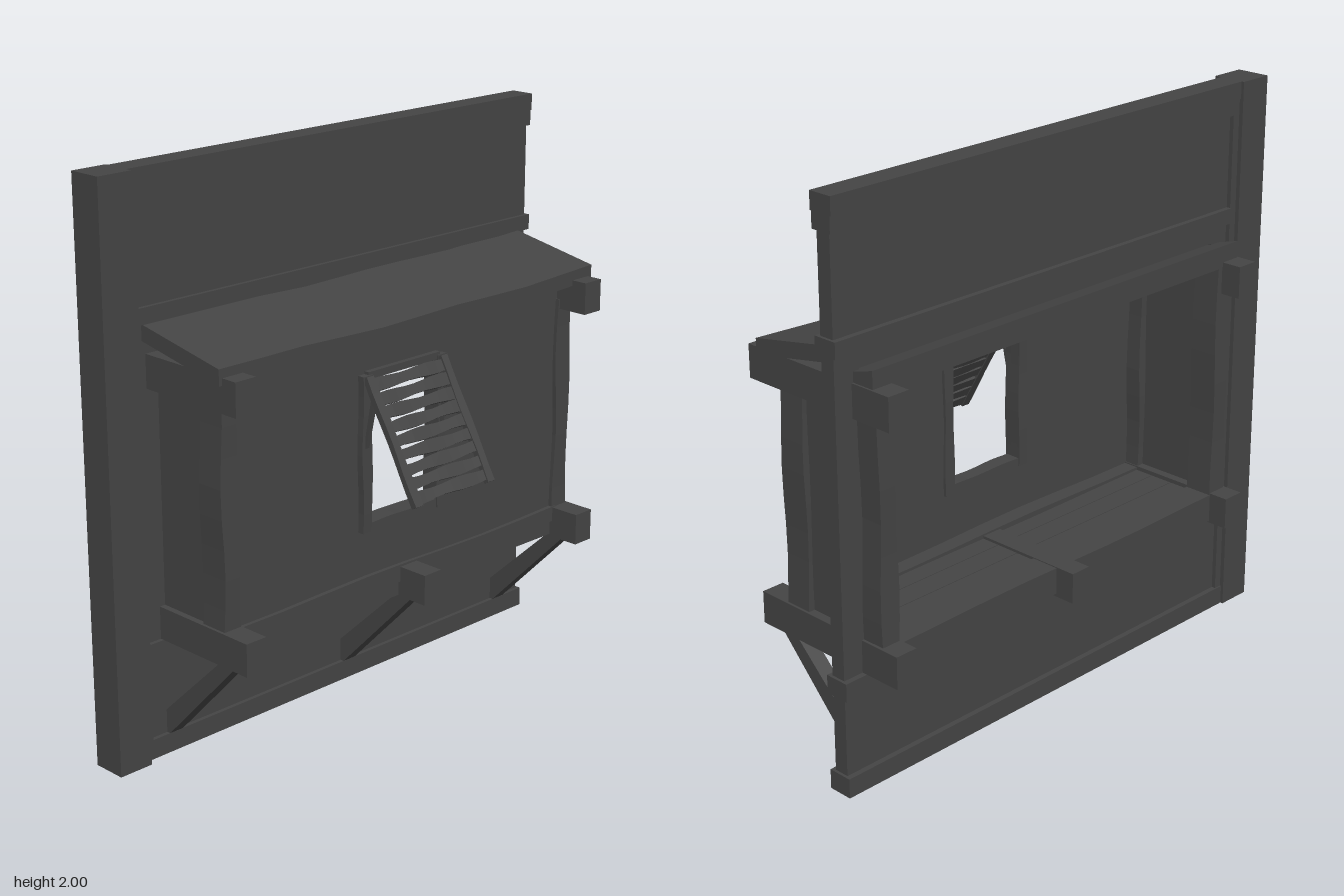
import * as THREE from 'three';

const mat = new THREE.MeshStandardMaterial({ color: 0x444444, flatShading: true });

// Box given by its extents; wobble bends it gently along its longest side
function timber(name, x0, x1, y0, y1, z0, z1, wobble = 0) {
  const size = [x1 - x0, y1 - y0, z1 - z0];
  const axis = size.indexOf(Math.max(...size));
  const seg = [1, 1, 1];
  if (wobble) seg[axis] = 8;
  const geo = new THREE.BoxGeometry(...size, ...seg);
  if (wobble) {
    const p = geo.attributes.position;
    const phase = x0 * 7 + y0 * 13 + z0 * 5;
    for (let i = 0; i < p.count; i++) {
      const c = [p.getX(i), p.getY(i), p.getZ(i)];
      const t = c[axis] / size[axis] + 0.5;
      for (let a = 0; a < 3; a++) {
        if (a === axis) continue;
        const side = Math.sign(c[a]);
        c[a] += wobble * Math.sin(t * 9 + phase + side * 2 + a) * (a === 2 ? 0.4 : 1);
      }
      p.setXYZ(i, ...c);
    }
    geo.computeVertexNormals();
  }
  const m = new THREE.Mesh(geo, mat);
  m.name = name;
  m.position.set((x0 + x1) / 2, (y0 + y1) / 2, (z0 + z1) / 2);
  return m;
}

// Upright board with a rectangular opening; rectangles are [x0, x1, y0, y1]
function boardWithOpening(name, outer, hole, z0, z1) {
  const corners = ([a, b, c, d]) => [[a, c], [b, c], [b, d], [a, d]].map(v => new THREE.Vector2(...v));
  const shape = new THREE.Shape(corners(outer));
  shape.holes.push(new THREE.Path(corners(hole).reverse()));
  const m = new THREE.Mesh(new THREE.ExtrudeGeometry(shape, { depth: z1 - z0, bevelEnabled: false }), mat);
  m.name = name;
  m.position.z = z0;
  return m;
}

// Solid from a side outline of [z, y] points, swept from x0 to x1
function sideProfile(name, pts, x0, x1, steps = 1) {
  const shape = new THREE.Shape(pts.map(([z, y]) => new THREE.Vector2(-z, y)));
  const geo = new THREE.ExtrudeGeometry(shape, { depth: x1 - x0, steps, bevelEnabled: false });
  geo.rotateY(Math.PI / 2);
  geo.translate(x0, 0, 0);
  const m = new THREE.Mesh(geo, mat);
  m.name = name;
  return m;
}

function buildWall() {
  const g = new THREE.Group();
  g.name = 'wall';
  g.add(
    timber('cornerPost', -1, -0.87, 0, 2, -0.25, -0.125),
    timber('sideStrip', -0.87, -0.84, 0, 1.95, -0.235, -0.15),
    boardWithOpening('wallPanel', [-0.85, 0.99, 0.03, 1.96], [-0.76, 0.89, 0.45, 1.44], -0.22, -0.165)
  );
  const rails = [[0, 0.07, -0.87], [0.35, 0.415, -0.84], [1.5, 1.555, -0.84], [1.885, 1.94, -0.84], [1.94, 2, -0.87]];
  for (const [y0, y1, x0] of rails) {
    const inset = y0 === 1.885 ? 0.005 : 0;
    g.add(timber('wallRail', x0, 1, y0, y1, -0.24 + inset, -0.15 - inset));
  }
  return g;
}

function buildBay() {
  const g = new THREE.Group();
  g.name = 'bay';

  // Joists running front to back, carrying the bay below and the roof above
  for (const x of [-0.74, 0.07, 0.87]) {
    if (x === 0.07) {
      g.add(timber('floorJoist', 0.03, 0.11, 0.415, 0.525, -0.38, 0.26));
    } else {
      g.add(timber('floorJoist', x - 0.042, x + 0.042, 0.415, 0.53, -0.38, 0.26));
    }
    // Diagonal brace down to the wall foot
    g.add(sideProfile('brace', [[0.12, 0.42], [0.19, 0.42], [-0.155, 0.065], [-0.2, 0.05], [-0.2, 0.12]], x - 0.028, x + 0.028));
  }
  for (const x of [-0.765, 0.88]) {
    g.add(timber('roofJoist', x - 0.042, x + 0.042, 1.285, 1.4, -0.38, 0.26));
  }

  // Posts, with a recessed side panel between each pair
  for (const [x0, x1, p] of [[-0.77, -0.7, -0.745], [0.83, 0.9, 0.865]]) {
    g.add(
      timber('frontPost', x0, x1, 0.5, 1.32, 0.04, 0.145, 0.005),
      timber('backPost', x0, x1, 0.5, 1.4, -0.305, -0.2, 0.005),
      timber('sidePanel', p - 0.015, p + 0.015, 0.5, 1.4, -0.21, 0.05)
    );
  }

  // Long rails front and back, and the floor boards
  g.add(
    timber('frontBottomRail', -0.72, 0.85, 0.475, 0.53, 0.04, 0.145, 0.005),
    timber('backBottomRail', -0.72, 0.85, 0.425, 0.52, -0.305, -0.2, 0.005),
    timber('frontTopRail', -0.74, 0.85, 1.37, 1.42, 0.04, 0.14, 0.004),
    timber('frontSill', -0.72, 0.85, 0.42, 0.48, 0.06, 0.135, 0.003),
    sideProfile('backTopRail', [[-0.2, 1.38], [-0.305, 1.38], [-0.305, 1.46], [-0.2, 1.43]], -0.8, 0.915)
  );
  for (let i = 0; i < 3; i++) {
    const z = -0.21 + i * 0.09;
    g.add(timber('floorBoard', -0.74, 0.86, 0.49, 0.515, z, z + 0.087));
  }
  g.add(boardWithOpening('frontPanel', [-0.74, 0.87, 0.48, 1.4], [-0.12, 0.2, 0.725, 1.25], 0.1, 0.13));
  return g;
}

function buildRoof() {
  // Sloping slab whose front edge sags a little in the middle
  const roof = sideProfile('roof', [[0.2, 1.38], [0.2, 1.435], [-0.2, 1.51], [-0.2, 1.455]].reverse(), -0.82, 0.94, 10);
  const p = roof.geometry.attributes.position;
  for (let i = 0; i < p.count; i++) {
    const t = (p.getX(i) - 0.06) / 0.88;
    p.setY(i, p.getY(i) - 0.012 * (1 - t * t) + 0.004 * Math.sin(t * 8));
  }
  roof.geometry.computeVertexNormals();
  return roof;
}

function buildWindow() {
  const g = new THREE.Group();
  g.name = 'window';
  for (const [x0, x1] of [[-0.16, -0.118], [0.198, 0.238]]) {
    g.add(timber('windowStile', x0, x1, 0.7, 1.25, 0.09, 0.155, 0.003));
  }
  g.add(
    timber('windowSill', -0.13, 0.21, 0.7, 0.73, 0.095, 0.15, 0.002),
    timber('windowHead', -0.13, 0.21, 1.235, 1.26, 0.095, 0.15)
  );

  // Slatted shutter hinged at its top edge and propped open
  const shutter = new THREE.Group();
  shutter.name = 'shutter';
  for (const s of [-1, 1]) {
    const x = s * 0.175;
    shutter.add(timber('shutterStile', x - 0.016, x + 0.016, -0.455, 0, -0.01, 0.012, 0.002));
  }
  for (let i = 0; i < 9; i++) {
    const y = -0.03 - i * 0.0495;
    const slat = timber('slat', -0.17, 0.17, y - 0.02, y + 0.02, -0.007, 0.007, 0.003);
    slat.rotation.z = 0.014 * Math.sin(i * 2.3);
    shutter.add(slat);
  }
  shutter.position.set(0.038, 1.245, 0.155);
  shutter.rotation.x = -Math.PI / 6;
  g.add(shutter);

  // Thin props between the frame and the shutter
  for (const x of [-0.14, 0.216]) {
    g.add(sideProfile('shutterProp', [[0.145, 1.0], [0.155, 1.0], [0.19, 1.16], [0.178, 1.17]], x - 0.008, x + 0.008));
  }
  return g;
}

export function createModel() {
  const model = new THREE.Group();
  model.name = 'bayWindowWall';
  model.add(buildWall(), buildBay(), buildRoof(), buildWindow());
  // Centre the depth
  return model;
}
